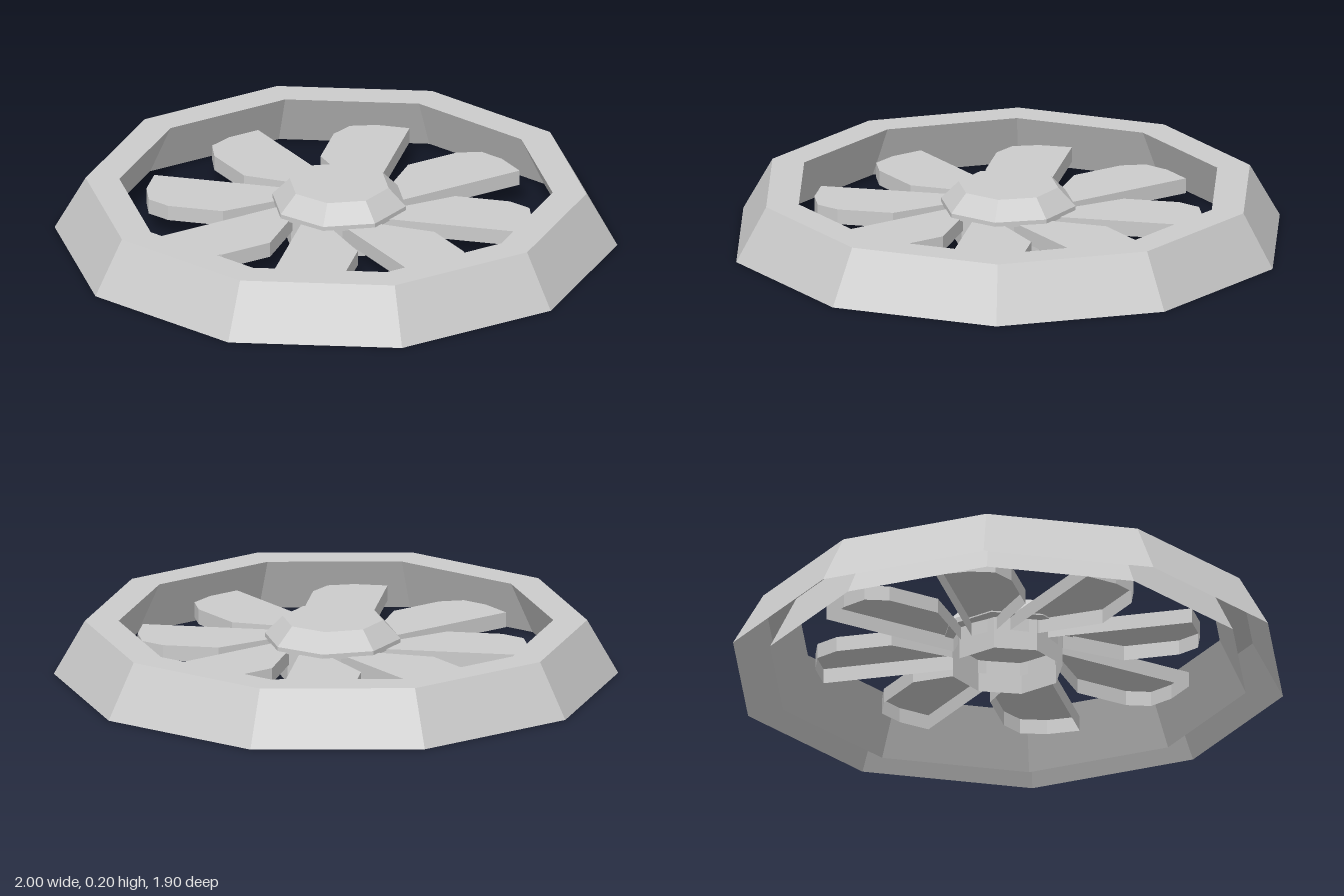
import * as THREE from 'three';

const grey = new THREE.MeshStandardMaterial({
  color: 0xcccccc, flatShading: true, side: THREE.DoubleSide,
});

function turned(name, profile, sides) {
  const points = profile.map(([r, y]) => new THREE.Vector2(r, y));
  const mesh = new THREE.Mesh(new THREE.LatheGeometry(points, sides), grey);
  mesh.name = name;
  mesh.rotation.y = Math.PI / 2; // put a corner on the x axis
  return mesh;
}

// Extruded outline lying flat, with its underside left open
function openShell(outline, bottom, height) {
  const shape = new THREE.Shape(outline.map(([x, y]) => new THREE.Vector2(x, y)));
  const solid = new THREE.ExtrudeGeometry(shape, { depth: height, bevelEnabled: false });
  solid.rotateX(-Math.PI / 2).translate(0, bottom, 0);
  const pos = solid.attributes.position, nor = solid.attributes.normal;
  const kept = [];
  for (let i = 0; i < pos.count; i += 3) {
    if (nor.getY(i) < -0.9) continue;
    for (let k = i; k < i + 3; k++) kept.push(pos.getX(k), pos.getY(k), pos.getZ(k));
  }
  const shell = new THREE.BufferGeometry();
  shell.setAttribute('position', new THREE.Float32BufferAttribute(kept, 3));
  shell.computeVertexNormals();
  return shell;
}

export function createModel() {
  const model = new THREE.Group();
  model.name = 'fan';

  // Ten-sided rim, hollow from below
  model.add(turned('outerRim', [[1, 0], [0.89, 0.195], [0.77, 0.195], [0.865, 0]], 10));

  // Rotor sits very slightly off the rim centre
  const rotor = new THREE.Group();
  rotor.name = 'rotor';
  rotor.position.set(0.01, 0, 0.005);
  model.add(rotor);

  // Bevelled eight-sided cap over an open hub tube
  rotor.add(turned('hubCap',
    [[0, 0.12], [0.243, 0.12], [0.243, 0.14], [0.18, 0.205], [0, 0.205]], 8));
  rotor.add(turned('hubTube', [[0.2, 0], [0.2, 0.12]], 8));

  // Eight blades: one straight edge, one with a clipped tip and tapered root
  const blade = openShell([
    [0.09, 0.17], [0.09, 0.695], [-0.03, 0.695], [-0.12, 0.665],
    [-0.16, 0.585], [-0.16, 0.385], [-0.01, 0.2],
  ], 0.07, 0.055);
  for (let i = 0; i < 8; i++) {
    const mesh = new THREE.Mesh(blade, grey);
    mesh.name = `blade${i + 1}`;
    mesh.rotation.y = (i * Math.PI) / 4;
    rotor.add(mesh);
  }
  return model;
}
